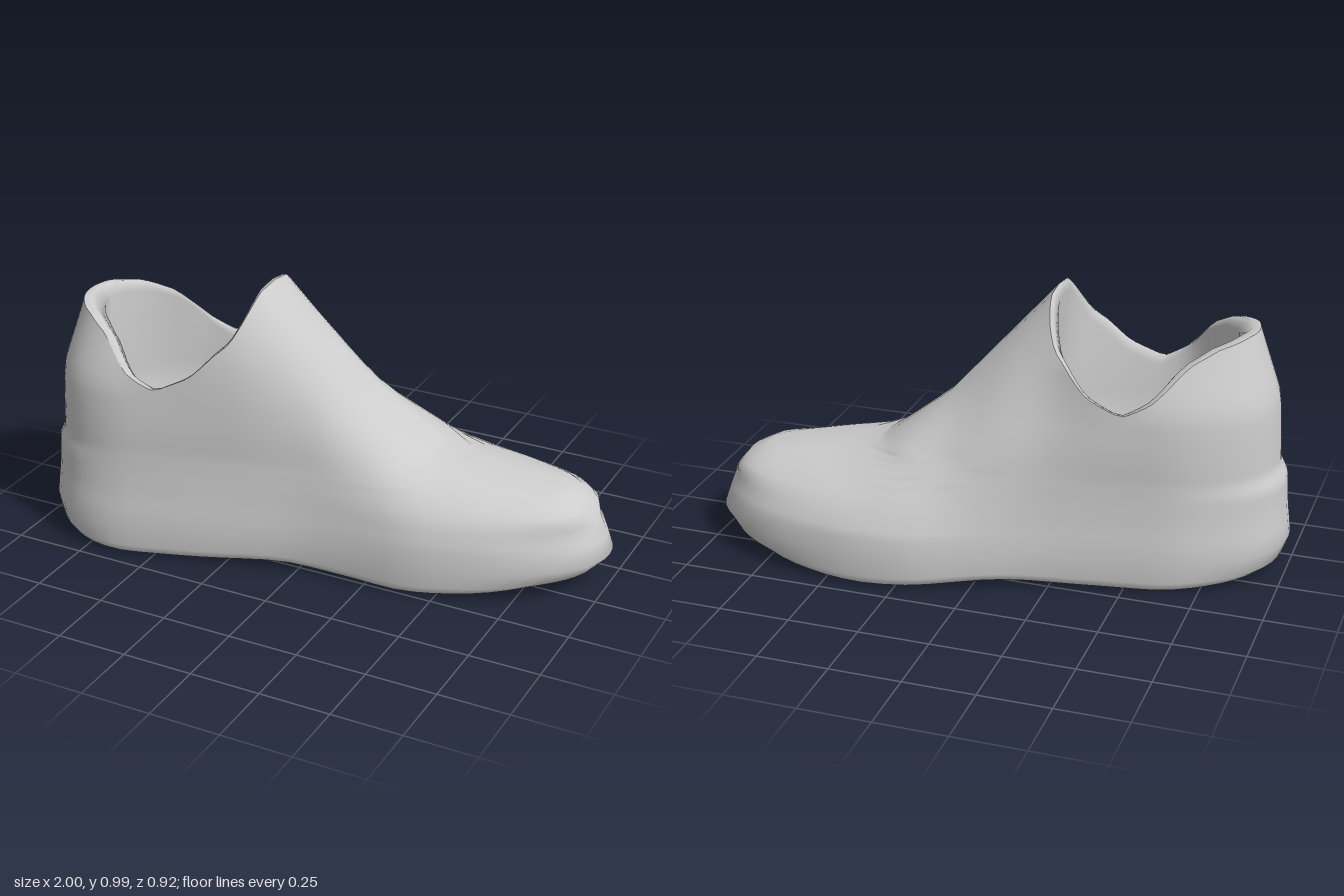
import * as THREE from 'three';

const N = 72; // points around each ring
const { clamp, smoothstep } = THREE.MathUtils;

// Piecewise-linear lookup in a table of [key, value] pairs
function lin(t, x) {
  if (x <= t[0][0]) return t[0][1];
  for (let i = 1; i < t.length; i++) {
    const [a, p] = t[i - 1], [b, q] = t[i];
    if (x <= b) return p + (q - p) * (x - a) / (b - a);
  }
  return t[t.length - 1][1];
}

// Smoothed lookup
const smooth = (t, x, r = 0.06) =>
  (lin(t, x - r) + 2 * lin(t, x - r / 2) + 2 * lin(t, x) + 2 * lin(t, x + r / 2) + lin(t, x + r)) / 8;

// Plan of the last: centre line and half width along the length
const CENTRE = [[-1, 0.16], [-0.8, 0.165], [-0.6, 0.13], [-0.4, 0.083], [-0.2, 0.03], [0, -0.037],
  [0.2, -0.088], [0.4, -0.1], [0.6, -0.115], [0.8, -0.13], [1, -0.13]];
const HALF = [[-1, 0.33], [-0.6, 0.325], [-0.4, 0.318], [-0.2, 0.31], [0, 0.318], [0.2, 0.353],
  [0.4, 0.362], [0.55, 0.338], [1, 0.312]];
// Ridge height along the length, with the step where the tongue panel meets the toe box
const RIDGE = [[-1, 1.6], [-0.4, 1.4], [-0.26, 1.08], [-0.18, 1], [0.17, 0.6], [0.355, 0.455], [0.41, 0.42],
  [0.5, 0.405], [0.7, 0.372], [0.82, 0.358], [0.9, 0.32], [0.935, 0.277], [1, 0.24]];
const RIDGE_X = RIDGE.map(([x, y]) => [y, x]).reverse();
// Roundness of the inner-foot flank, heel line, width by height, toe and heel spring
const FLANK = [[-0.3, 2.5], [0.1, 1.3], [0.45, 1.75], [1, 2]];
const HEEL = [[0.25, -0.985], [0.34, -0.98], [0.39, -0.955], [0.63, -0.94], [0.78, -0.89], [0.87, -0.86]];
const WIDTH = [[0.25, 0.96], [0.33, 0.945], [0.4, 0.94], [0.5, 0.955], [0.65, 0.955]];
const SPRING = [[-1, 0.02], [-0.6, 0.002], [-0.3, 0.01], [-0.08, 0.025], [0.1, 0.012], [0.35, 0], [0.6, 0.015], [0.8, 0.035], [1, 0.05]];
// Collar height by angle in degrees from the tongue to the heel
const COLLAR = [[0, 0.99], [5, 0.98], [12, 0.95], [22, 0.89], [32, 0.83], [45, 0.785], [62, 0.7], [84, 0.64],
  [100, 0.69], [118, 0.805], [135, 0.85], [160, 0.87], [180, 0.87]];

function halfWidth(x) {
  const heel = Math.max(0, (-0.6 - x) / 0.4), toe = Math.max(0, (x - 0.45) / 0.55);
  return smooth(HALF, x) * Math.sqrt(Math.max(0, 1 - heel * heel)) * Math.sqrt(Math.max(0, 1 - toe * toe));
}

const collar = (a) => smooth(COLLAR, 180 - Math.abs(180 - a * 180 / Math.PI), 3);

// One closed ring; y may be a number or a function of the angle
function ring({ y, back, front, scale, sole = false, oval = 0 }) {
  const pts = [];
  for (let j = 0; j < N; j++) {
    const a = j / N * Math.PI * 2, s = Math.sin(a);
    const x = (back + front) / 2 + (front - back) / 2 * Math.cos(a);
    let h = typeof y === 'function' ? y(a) : y;
    // stretch the plan so that its rounded ends meet the ends of this ring
    let px = x;
    if (x < -0.5) px = -0.5 - 0.5 * (x + 0.5) / (back + 0.5);
    else if (sole && x > 0.5) px = 0.5 + 0.5 * (x - 0.5) / (front - 0.5);
    // domed section below the ridge
    const v = clamp((h - 0.18) / (lin(RIDGE, x) - 0.18), 0, 1);
    const n = s > 0 ? 2.4 : smooth(FLANK, x);
    let w = halfWidth(px) * scale * Math.pow(1 - Math.pow(v, n), 1 / n);
    w *= Math.pow(Math.abs(s), oval);
    // heel collar draws in towards its top
    w *= 1 - 0.22 * smoothstep(h, 0.6, 0.9) * smoothstep(-x, 0.45, 0.65);
    if (j === 0 || j * 2 === N) w = 0;
    const lean = 0.045 * smoothstep(h, 0.35, 0.9) * smoothstep(x, -0.45, -0.18);
    if (sole) h += smooth(SPRING, x) * Math.max(0, 1 - h / 0.12);
    pts.push(x, h, smooth(CENTRE, x) + lean + Math.sign(s) * w);
  }
  return pts;
}

// Skin a list of rings
function loft(name, rings, material) {
  const index = [];
  for (let k = 0; k < rings.length - 1; k++) {
    for (let j = 0; j < N; j++) {
      const a = k * N + j, b = k * N + (j + 1) % N;
      index.push(a, a + N, b, b, a + N, b + N);
    }
  }
  const g = new THREE.BufferGeometry();
  g.setAttribute('position', new THREE.Float32BufferAttribute(rings.flat(), 3));
  g.setIndex(index);
  g.computeVertexNormals();
  const mesh = new THREE.Mesh(g, material);
  mesh.name = name;
  return mesh;
}

export function createModel() {
  const grey = new THREE.MeshStandardMaterial({ color: 0xcccccc, side: THREE.DoubleSide });
  grey.name = 'light grey';
  const shoe = new THREE.Group();
  shoe.name = 'shoe';

  // Sole part of the shell: underside and side wall
  const shell = [
    [0, -0.86, 0.76, 0], [0, -0.88, 0.78, 0.5], [0, -0.9, 0.82, 0.91], [0.012, -0.94, 0.89, 0.97],
    [0.04, -0.975, 0.955, 0.995], [0.12, -1, 1, 1], [0.18, -0.993, 0.978, 0.985],
    [0.21, -0.989, 0.968, 0.972], [0.25, -0.985, 0.957, 0.96],
  ].map(([y, back, front, scale]) => ring({ y, back, front, scale, sole: true }));

  // Upper part of the shell: level rings to the instep, then rings rising to the collar
  for (const y of [0.277, 0.3, 0.32, 0.34, 0.357, 0.372, 0.388, 0.405, 0.42, 0.437, 0.455, 0.5, 0.55, 0.6]) {
    shell.push(ring({ y, back: lin(HEEL, y), front: lin(RIDGE_X, y), scale: lin(WIDTH, y) }));
  }
  for (let i = 1; i <= 6; i++) {
    const t = i / 6;
    const y = (a) => 0.6 + (collar(a) - 0.6) * t;
    shell.push(ring({ y, back: lin(HEEL, y(Math.PI)), front: 0.17 - 0.35 * t, scale: 0.955 }));
  }
  shoe.add(loft('shell', shell, grey));

  // Lining: collar lip and a rounded foot well
  const lining = [
    shell[shell.length - 1],
    ring({ y: (a) => collar(a) + 0.002, back: -0.83, front: -0.19, scale: 0.92, oval: 0.1 }),
    ring({ y: (a) => collar(a) - 0.03, back: -0.79, front: -0.2, scale: 0.87, oval: 0.3 }),
    ring({ y: 0.52, back: -0.82, front: -0.15, scale: 0.85, oval: 0.45 }),
    ring({ y: 0.38, back: -0.8, front: -0.15, scale: 0.78, oval: 0.45 }),
    ring({ y: 0.29, back: -0.74, front: -0.21, scale: 0.62, oval: 0.45 }),
    ring({ y: 0.25, back: -0.65, front: -0.31, scale: 0.35, oval: 0.45 }),
    ring({ y: 0.24, back: -0.6, front: -0.38, scale: 0 }),
  ];
  shoe.add(loft('lining', lining, grey));
  return shoe;
}
